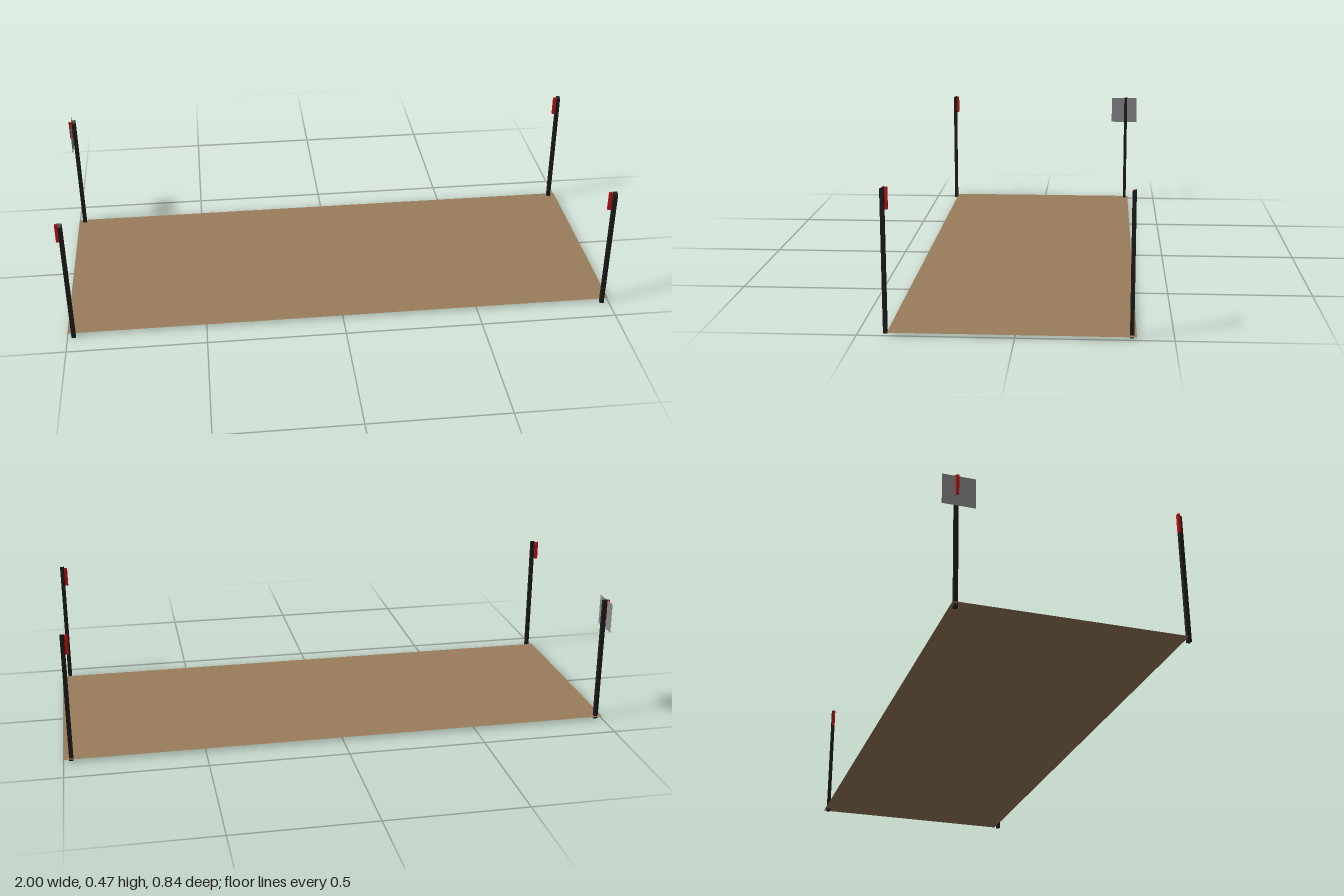
import * as THREE from 'three';

const mat = (name, color, side = THREE.FrontSide) => {
  const m = new THREE.MeshStandardMaterial({ color, side });
  m.name = name;
  return m;
};

// Square stake whose top slopes up towards the back
function stakeGeometry(width, depth, low, high) {
  const geo = new THREE.BoxGeometry(width, low, depth).translate(0, low / 2, 0);
  const p = geo.attributes.position;
  for (let i = 0; i < p.count; i++) {
    if (p.getY(i) > low / 2 && p.getZ(i) < 0) p.setY(i, high);
  }
  geo.computeVertexNormals();
  return geo;
}

export function createModel() {
  const model = new THREE.Group();
  model.name = 'markedPlot';
  const soil = mat('soil brown', 0x9a7d5b, THREE.DoubleSide);
  const black = mat('post black', 0x1e1e1e);
  const red = mat('reflector red', 0xc81414);
  const grey = mat('sign grey', 0x8c8c8e, THREE.DoubleSide);

  const add = (name, geo, material, x, y, z) => {
    const mesh = new THREE.Mesh(geo, material);
    mesh.name = name;
    mesh.position.set(x, y, z);
    model.add(mesh);
    return mesh;
  };

  // Flat rectangular ground sheet
  add('ground', new THREE.PlaneGeometry(2, 0.785).rotateX(-Math.PI / 2), soil, 0, 0.01, 0.011);

  // Corner posts, each with a red reflector beside its top
  const postGeo = stakeGeometry(0.015, 0.013, 0.468, 0.475);
  const reflectorGeo = new THREE.BoxGeometry(0.012, 0.07, 0.009);
  for (const [side, x] of [['Left', 0.973], ['Right', -0.978]]) {
    for (const [end, z, reflectorZ] of [['front', 0.412, 0.4015], ['back', -0.367, -0.367]]) {
      add(`${end}${side}Post`, postGeo, black, x, 0, z);
      add(`${end}${side}Reflector`, reflectorGeo, red, x - 0.0135, 0.435, reflectorZ);
    }
  }

  // Square sign plate on the back right post
  add('signPlate', new THREE.PlaneGeometry(0.1125, 0.11).rotateY(Math.PI / 2), grey, -0.988, 0.415, -0.3605);

  return model;
}
